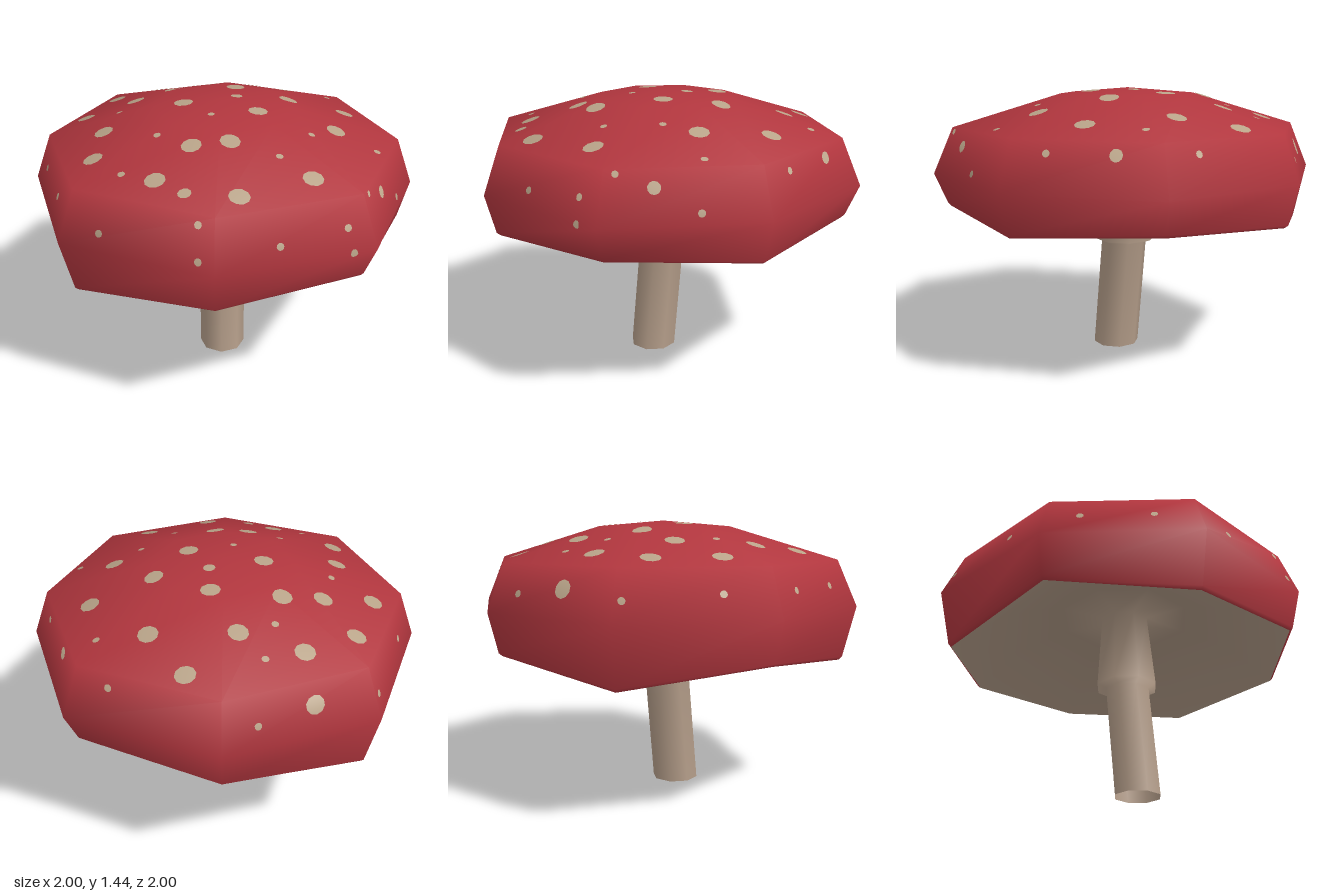
import * as THREE from 'three';

const SIDES = 8;

// One eight-sided ring; diagonal corners may have their own radius and height
function ring(r, y, { diag = r, diagY = [y, y, y, y], z = 0 } = {}) {
  return Array.from({ length: SIDES }, (_, i) => {
    const a = (i / SIDES) * Math.PI * 2;
    const odd = i % 2 === 1;
    const rad = odd ? diag : r;
    return new THREE.Vector3(Math.cos(a) * rad, odd ? diagY[(i - 1) / 2] : y, Math.sin(a) * rad + z);
  });
}

// Smooth skin through a list of rings, with shared corners
function loft(rings) {
  const faces = [], mirrored = [];
  for (let k = 0; k < rings.length - 1; k++) {
    for (let i = 0; i < SIDES; i++) {
      const j = (i + 1) % SIDES;
      const a = k * SIDES + i, b = k * SIDES + j, c = a + SIDES, d = b + SIDES;
      faces.push(a, c, b, b, c, d);
      mirrored.push(a, c, d, a, d, b);
    }
  }
  const g = new THREE.BufferGeometry().setFromPoints(rings.flat());
  // Both diagonals of each quad count, so the normals are symmetric
  g.setIndex([...faces, ...mirrored]);
  g.computeVertexNormals();
  g.setIndex(faces);
  return g;
}

export function createModel() {
  const group = new THREE.Group();
  const material = (name, color, side = THREE.FrontSide) => {
    const m = new THREE.MeshStandardMaterial({ color, side });
    m.name = name;
    return m;
  };
  const red = material('capRed', 0xb1363e);
  const tan = material('stemTan', 0xb59e8a, THREE.DoubleSide);
  const cream = material('spotCream', 0xb8a388);
  const add = (name, geometry, mat) => {
    const mesh = new THREE.Mesh(geometry, mat);
    mesh.name = name;
    group.add(mesh);
    return mesh;
  };

  // Cap: uneven rim, widest belt, shoulder, crown and apex
  const rimY = [0.83, 0.72, 0.70, 0.83];
  const lip = ring(0.932, 0.785, { diag: 0.95, diagY: rimY.map((y) => y - 0.004) });
  const capShape = loft([
    lip,
    ring(0.95, 0.80, { diag: 0.965, diagY: rimY.map((y) => y + 0.012) }),
    ring(1.0, 1.0, { diag: 1.03 }),
    ring(0.91, 1.24, { diag: 0.925 }),
    ring(0.36, 1.41),
    ring(0.001, 1.44),
  ]);
  // The apex points straight up
  const capNormals = capShape.attributes.normal;
  for (let i = capNormals.count - SIDES; i < capNormals.count; i++) capNormals.setXYZ(i, 0, 1, 0);
  const cap = add('cap', capShape, red);

  // Open leaning stem with a flared collar, running into the hollow underside
  add('stemAndUnderside', loft([
    ring(0.125, 0, { z: 0.08 }),
    ring(0.124, 0.60, { z: 0.024 }),
    ring(0.17, 0.618, { z: 0.02 }),
    ring(0.135, 1.03, { z: 0.008 }),
    ring(0.37, 1.05),
    ring(0.68, 0.975, { diagY: rimY.map((y) => y * 0.4 + 0.66) }),
    lip,
  ]), tan);

  // Spots: thin patches dropped onto the cap, shaded like the surface below
  cap.updateMatrixWorld(true);
  const caster = new THREE.Raycaster();
  const cast = (from, dir) => {
    caster.set(from, dir);
    return caster.intersectObject(cap)[0];
  };
  const LIFT = 0.004;
  function addSpot(from, dir, radius) {
    const hit = cast(from, dir);
    if (!hit) return;
    const n = hit.face.normal.clone();
    const turn = new THREE.Quaternion().setFromUnitVectors(new THREE.Vector3(0, 0, 1), n);
    const disc = new THREE.RingGeometry(0, radius, 10, 3);
    const { position, normal } = disc.attributes;
    const p = new THREE.Vector3();
    for (let i = 0; i < position.count; i++) {
      p.fromBufferAttribute(position, i).applyQuaternion(turn).add(hit.point);
      const h = cast(p.clone().addScaledVector(n, 0.2), n.clone().negate());
      if (h) p.copy(h.point);
      p.addScaledVector(n, LIFT);
      const shade = (h && h.normal) || n;
      position.setXYZ(i, p.x, p.y, p.z);
      normal.setXYZ(i, shade.x, shade.y, shade.z);
    }
    add('spot', disc, cream);
  }

  // Large spots on the crown: x, z, radius
  const large = [
    [0.16, -0.76], [-0.37, -0.61], [-0.07, -0.54], [-0.62, -0.46], [0.34, -0.52],
    [-0.28, -0.3], [-0.48, -0.24], [0.06, -0.28], [-0.74, -0.15], [0.34, -0.13],
    [0.65, -0.22], [-0.2, 0.0], [0.18, 0.11], [0.57, 0.13], [-0.59, 0.16],
    [-0.6, 0.42], [-0.13, 0.44], [0.05, 0.42], [0.43, 0.6], [-0.28, 0.65],
    [0.1, 0.77], [-0.41, -0.79, 0.046],
  ];
  // Small spots on the crown: x, z, radius
  const small = [
    [-0.19, -0.67, 0.018], [-0.24, -0.47, 0.018], [0.58, -0.51, 0.018], [0.07, -0.09, 0.031],
    [-0.54, -0.04, 0.018], [-0.05, 0.17, 0.018], [0.44, 0.25, 0.018], [0.77, 0.22, 0.018],
    [-0.3, 0.34, 0.018], [0.28, 0.48, 0.018], [0.68, 0.61, 0.016], [-0.44, 0.59, 0.018],
    [-0.14, 0.75, 0.032],
  ];
  const down = new THREE.Vector3(0, -1, 0);
  for (const [x, z, r = 0.05] of [...large, ...small]) addSpot(new THREE.Vector3(x, 2, z), down, r);

  // Spots around the side: x, y, z, radius
  const side = [
    [-0.16, 1.1, -0.92], [-0.72, 1.1, -0.67], [-0.88, 1.12, -0.24], [-0.9, 1.12, 0.16],
    [-0.77, 1.12, 0.49], [0.86, 1.18, -0.17], [0.93, 1.05, 0.31], [0.29, 1.08, 0.89],
    [-0.53, 1.08, 0.78], [-0.07, 1.2, 0.885], [-0.07, 1.05, 0.95], [0.58, 1.11, 0.73],
    [0.61, 1.0, 0.76], [0.5, 1.18, -0.73], [0.75, 1.18, -0.47, 0.031], [0.77, 1.16, 0.47, 0.031],
  ];
  for (const [x, y, z, r = 0.018] of side) {
    const dir = new THREE.Vector3(-x, 0, -z).normalize();
    addSpot(new THREE.Vector3(0, y, 0).addScaledVector(dir, -2), dir, r);
  }

  return group;
}
